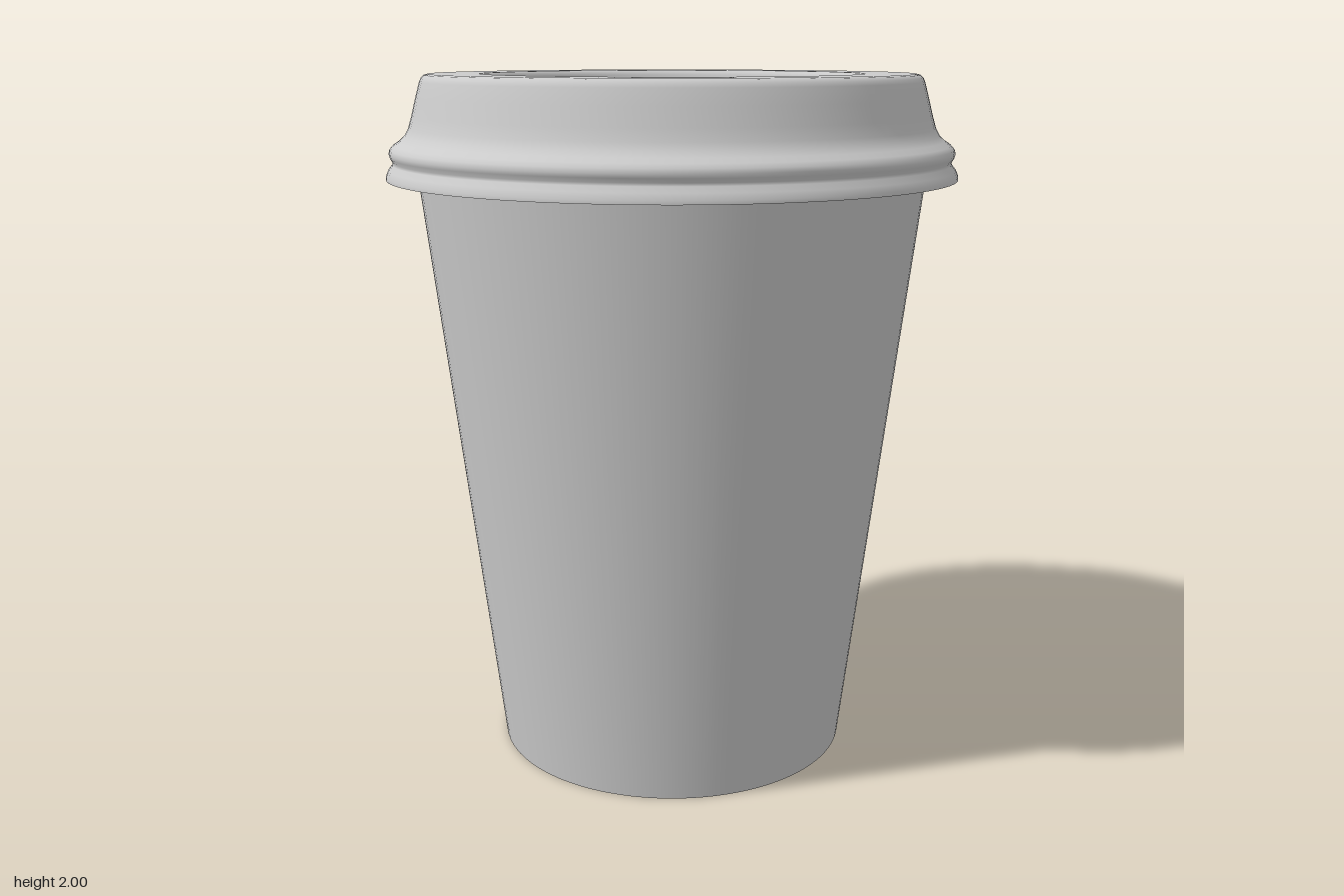
import * as THREE from 'three';

const SEGMENTS = 96;
const material = new THREE.MeshStandardMaterial({ color: 0xcccccc, side: THREE.DoubleSide });

function addMesh(group, name, geometry) {
  const mesh = new THREE.Mesh(geometry, material);
  mesh.name = name;
  group.add(mesh);
  return mesh;
}

// Revolves a list of [radius, height] pairs around the y axis.
function revolve(group, name, points) {
  const profile = points.map(([r, y]) => new THREE.Vector2(r, y));
  return addMesh(group, name, new THREE.LatheGeometry(profile, SEGMENTS));
}

// Rounded slot outline centred on (x, y).
function slotPath(x, y, halfW, halfH, r) {
  const path = new THREE.Path();
  const cx = halfW - r, cy = halfH - r;
  path.absarc(x + cx, y + cy, r, 0, Math.PI / 2);
  path.absarc(x - cx, y + cy, r, Math.PI / 2, Math.PI);
  path.absarc(x - cx, y - cy, r, Math.PI, Math.PI * 1.5);
  path.absarc(x + cx, y - cy, r, Math.PI * 1.5, Math.PI * 2);
  path.closePath();
  return path;
}

function createCup() {
  const cup = new THREE.Group();
  cup.name = 'cup';
  // Tapered paper wall, outside and inside
  revolve(cup, 'cupOuterWall', [[0.522, 0], [0.735, 1.78]]);
  revolve(cup, 'cupInnerWall', [[0.723, 1.78], [0.51, 0]]);
  revolve(cup, 'cupBottomEdge', [[0.51, 0], [0.522, 0]]);
  // Base disc set up inside the foot
  const base = addMesh(cup, 'cupBase', new THREE.CylinderGeometry(0.518, 0.518, 0.01, SEGMENTS));
  base.position.y = 0.085;
  // Rolled rim hidden under the lid
  const rim = addMesh(cup, 'cupRim', new THREE.TorusGeometry(0.738, 0.018, 10, SEGMENTS));
  rim.rotation.x = Math.PI / 2;
  rim.position.y = 1.78;
  return cup;
}

function createLid() {
  const lid = new THREE.Group();
  lid.name = 'lid';
  // Skirt: flared lip, snap bead, raised side and rounded shoulder
  const skirt = [
    [0.816, 1.71], [0.816, 1.72], [0.809, 1.737], [0.797, 1.752], [0.796, 1.76],
    [0.803, 1.771], [0.806, 1.782], [0.803, 1.794], [0.793, 1.805], [0.775, 1.817],
    [0.76, 1.832], [0.749, 1.852], [0.739, 1.885], [0.726, 1.935], [0.714, 1.978],
    [0.709, 1.989], [0.701, 1.997], [0.69, 2], [0.68, 2],
  ];
  revolve(lid, 'lidSkirt', skirt);
  const inner = skirt.slice(0, -2).map(([r, y]) => [r - 0.014, Math.min(y, 1.985)]);
  revolve(lid, 'lidSkirtInside', inner.reverse());
  revolve(lid, 'lidBottomEdge', [[0.802, 1.71], [0.816, 1.71]]);

  // Flat top ring with the drinking slot cut through
  const ring = new THREE.Shape();
  ring.absarc(0, 0, 0.685, 0, Math.PI * 2);
  const opening = new THREE.Path();
  opening.absarc(0, 0, 0.547, 0, Math.PI * 2);
  ring.holes.push(opening, slotPath(0, 0.607, 0.13, 0.048, 0.038));
  const ringGeometry = new THREE.ExtrudeGeometry(ring, {
    depth: 0.015, bevelEnabled: false, curveSegments: SEGMENTS,
  });
  ringGeometry.rotateX(Math.PI / 2);
  ringGeometry.translate(0, 2, 0);
  addMesh(lid, 'lidTopRing', ringGeometry);

  // Sunken centre panel
  revolve(lid, 'lidCentrePanel', [
    [0.55, 2], [0.542, 1.999], [0.535, 1.994], [0.531, 1.985], [0.527, 1.967],
    [0.522, 1.959], [0.512, 1.956], [0.5, 1.955], [0, 1.955],
  ]);
  return lid;
}

export function createModel() {
  const model = new THREE.Group();
  model.name = 'takeawayCup';
  model.add(createCup(), createLid());
  return model;
}
